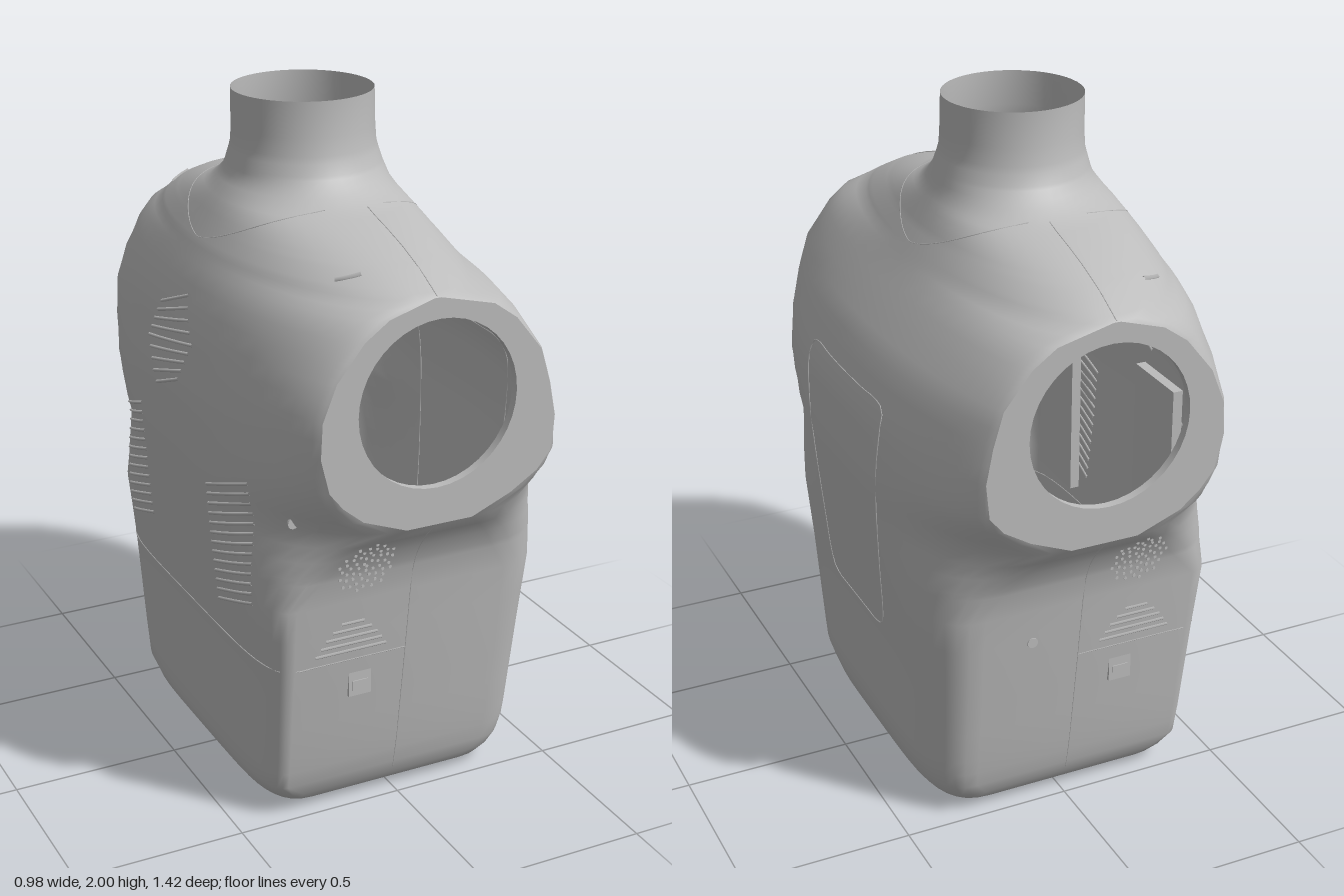
import * as THREE from 'three';
import { toCreasedNormals } from 'three/addons/utils/BufferGeometryUtils.js';

const shellGrey = new THREE.MeshStandardMaterial({ color: 0xbcbcbc, side: THREE.DoubleSide });

// Outline tables, each row is [height, value]
const LEFT = [[0, -.28], [.006, -.325], [.03, -.38], [.06, -.4], [.1, -.41], [.5, -.43], [.8, -.46], [1, -.48], [1.2, -.49],
  [1.4, -.47], [1.5, -.44], [1.6, -.39], [1.7, -.33], [1.77, -.28], [1.85, -.26], [2, -.26]];
const RIGHT = [[0, .3], [.006, .335], [.03, .37], [.06, .39], [.15, .42], [.5, .44], [.8, .465], [1, .485], [1.2, .48],
  [1.35, .43], [1.45, .365], [1.55, .295], [1.65, .23], [1.75, .175], [1.85, .145], [2, .14]];
const DEPTH = [[0, .38], [.006, .42], [.03, .46], [.06, .48], [.1, .492], [.2, .51], [.5, .55], [.7, .575], [.78, .59],
  [.85, .62], [.9, .66], [.95, .71], [1.59, .71], [1.64, .61], [1.675, .515], [1.7, .43], [1.725, .33], [1.75, .28],
  [1.79, .235], [1.83, .215], [1.9, .2], [2, .2]];
// Half of the flat part at each shoulder end
const END_LEFT = [[0, -.22], [.1, -.35], [.7, -.36], [.85, -.23], [.95, -.1], [1, -.23], [1.05, -.29], [1.1, -.33], [1.2, -.355],
  [1.3, -.35], [1.4, -.31], [1.5, -.23], [1.55, -.16], [1.59, -.03], [1.8, -.06], [2, -.06]];
const END_RIGHT = [[0, .2], [.1, .28], [.7, .29], [.85, .2], [.95, .1], [1, .22], [1.05, .3], [1.1, .34], [1.2, .35],
  [1.3, .33], [1.4, .3], [1.5, .22], [1.55, .15], [1.59, -.01], [1.65, -.03], [1.8, -.06], [2, -.06]];
// Roundness of the corners
const POWER = [[0, 5], [.75, 5], [.9, 3.6], [1, 3], [1.2, 2.2], [1.6, 2], [2, 2]];
const ROOT = [[0, .4], [.8, .42], [.9, .5], [1, .6], [1.2, .85], [1.4, .8], [1.5, .65], [1.6, .5], [2, .5]];

function look(table, y) {
  for (let i = 1; i < table.length; i++) {
    const [y0, a] = table[i - 1], [y1, b] = table[i];
    if (y <= y1) return a + (b - a) * Math.max(0, (y - y0) / (y1 - y0));
  }
  return table[table.length - 1][1];
}

// Point on the chest (side 1) or vented (side -1) wall
function onSide(y, z, side) {
  const w = look(side > 0 ? END_RIGHT : END_LEFT, y);
  const far = look(side > 0 ? RIGHT : LEFT, y);
  const k = Math.min(1, Math.abs(z) / look(DEPTH, y));
  const x = w + (far - w) * Math.pow(Math.max(0, 1 - Math.pow(k, look(POWER, y))), look(ROOT, y));
  return new THREE.Vector3(x, y, z);
}

// Point on the wall below a shoulder, end is 1 or -1 along z
function onEnd(x, y, end) {
  const right = x > look(END_RIGHT, y), left = x < look(END_LEFT, y);
  let z = look(DEPTH, y);
  if (right || left) {
    const w = look(right ? END_RIGHT : END_LEFT, y), far = look(right ? RIGHT : LEFT, y);
    const k = Math.min(1, (x - w) / (far - w));
    z *= Math.pow(1 - Math.pow(k, 1 / look(ROOT, y)), 1 / look(POWER, y));
  }
  return new THREE.Vector3(x, y, end * z);
}

function add(group, name, geometry) {
  const mesh = new THREE.Mesh(geometry, shellGrey);
  mesh.name = name;
  group.add(mesh);
  return mesh;
}

function line(group, name, points, radius = .002, closed = false) {
  const curve = new THREE.CatmullRomCurve3(points, closed, 'centripetal');
  return add(group, name, new THREE.TubeGeometry(curve, points.length * 3, radius, 4, closed));
}

const steps = (n, fn) => Array.from({ length: n + 1 }, (_, i) => fn(i / n));

export function createModel() {
  const model = new THREE.Group();
  model.name = 'torsoShell';

  // Body wall: horizontal sections lofted from floor to neck
  const heights = [...new Set([LEFT, RIGHT, DEPTH, END_LEFT, END_RIGHT].flatMap(t => t.map(r => r[0]))
    .concat([.015, .3, .4, .6, 1.15, 1.25, 1.57, 1.61, 1.66, 1.715, 1.77]))].sort((a, b) => a - b);
  const M = 24, ring = 2 * M + 2;
  const pos = [], index = [];
  for (const y of heights) {
    for (const side of [1, -1]) {
      for (let i = 0; i <= M; i++) {
        const z = side * Math.sin((2 * i / M - 1) * Math.PI / 2) * look(DEPTH, y);
        pos.push(...onSide(y, z, side).toArray());
      }
    }
  }
  for (let r = 0; r < heights.length - 1; r++) {
    const capRow = heights[r] >= .95 && heights[r + 1] <= 1.59;
    for (let i = 0; i < ring; i++) {
      if (capRow && (i === M || i === ring - 1)) continue; // open for the shoulder faces
      const a = r * ring + i, b = r * ring + (i + 1) % ring;
      index.push(a, a + ring, b, b, a + ring, b + ring);
    }
  }
  const wall = new THREE.BufferGeometry();
  wall.setAttribute('position', new THREE.Float32BufferAttribute(pos, 3));
  wall.setIndex(index);
  add(model, 'bodyWall', toCreasedNormals(wall, .8));

  // Flat shoulder faces with round arm openings
  const capRows = heights.filter(y => y >= .95 && y <= 1.59);
  const cap = new THREE.Shape([
    ...capRows.map(y => new THREE.Vector2(look(END_RIGHT, y), y)),
    ...capRows.slice().reverse().map(y => new THREE.Vector2(look(END_LEFT, y), y))]);
  cap.holes.push(new THREE.Path().absarc(-.01, 1.295, .237, 0, Math.PI * 2, true));
  for (const end of [1, -1]) {
    add(model, 'shoulderFace', new THREE.ShapeGeometry(cap, 20)).position.z = end * .71;
    const lip = add(model, 'armOpeningLip', new THREE.CylinderGeometry(.237, .237, .025, 40, 1, true));
    lip.rotation.x = Math.PI / 2;
    lip.position.set(-.01, 1.295, end * .6975);
  }

  // Floor with a round opening
  const floor = new THREE.Shape(steps(ring - 1, t => {
    const i = Math.round(t * (ring - 1)) * 3;
    return new THREE.Vector2(pos[i], pos[i + 2]);
  }));
  floor.holes.push(new THREE.Path().absarc(-.06, 0, .21, 0, Math.PI * 2, true));
  add(model, 'floor', new THREE.ShapeGeometry(floor, 20).rotateX(Math.PI / 2));

  // Chest panel outline with rounded corners
  const corners = [[.28, 1.255], [-.28, 1.255], [-.2, .51], [.2, .51]];
  const outline = [];
  corners.forEach(([z, y], i) => {
    const [pz, py] = corners[(i + 3) % 4], [nz, ny] = corners[(i + 1) % 4];
    const toward = (qz, qy, d) => {
      const l = Math.hypot(qz - z, qy - y);
      return [z + (qz - z) * d / l, y + (qy - y) * d / l];
    };
    const a = toward(pz, py, .06), b = toward(nz, ny, .06);
    outline.push(a, [(a[0] + b[0] + 2 * z) / 4, (a[1] + b[1] + 2 * y) / 4], b);
    for (let k = 1; k < 5; k++) outline.push([b[0] + (nz - z) * k * .16, b[1] + (ny - y) * k * .16]);
  });
  line(model, 'chestPanelSeam', outline.map(([z, y]) => onSide(y, z, 1)), .002, true);

  // Slanted vents on the vented wall, with a backing plate inside
  const vent = (z, y, half, rise) => line(model, 'sideVent',
    steps(4, t => onSide(y + (2 * t - 1) * rise, z + (2 * t - 1) * half, -1)), .005);
  for (const s of [-1, 1]) {
    for (let i = 0; i < 13; i++) vent(s * .34, .65 + i * .03, .11, .04);
    add(model, 'ventBacking', new THREE.BoxGeometry(.03, .6, .22)).position.set(-.38, .9, s * .31);
  }
  for (let i = -4; i <= 4; i++) vent(0, 1.32 + i * .03, .15 - Math.abs(i) * .018, .03);

  // Seam around the vented half
  line(model, 'lowerSideSeam', steps(24, t => onSide(.505, (2 * t - 1) * .53, -1)));

  // Seam where the neck meets the shoulders
  for (const side of [1, -1]) {
    line(model, 'neckSeam', steps(20, t => {
      const s = 2 * t - 1;
      return onSide(1.61 + .12 * Math.pow(Math.abs(s), 1.5), s * .3, side);
    }), .0015);
  }

  for (const end of [1, -1]) {
    line(model, 'lowerEndSeam', steps(8, t => onEnd(-.4 + t * .39, .505, end)));
    line(model, 'centreSeam', steps(16, t => onEnd(-.01, .02 + t * .92, end)), .0015);
    line(model, 'shoulderSeam', steps(10, t => onEnd(-.02, 1.592 + t * .138, end)), .0015);

    // Speaker holes
    for (let i = 0; i < 55; i++) {
      const a = i * 2.39996, d = .088 * Math.sqrt(i / 55);
      const hole = add(model, 'speakerHole', new THREE.CylinderGeometry(.005, .005, .004, 8));
      hole.rotation.x = Math.PI / 2;
      hole.position.copy(onEnd(-.165 + d * Math.cos(a), .815 + d * Math.sin(a), end));
    }

    // Stepped slots below the speaker
    [.11, .095, .08, .06, .035].forEach((half, i) => {
      line(model, 'lowerSlot', steps(3, t => onEnd(-.185 + (2 * t - 1) * half, .537 + i * .023, end)), .005);
    });

    // Latch, small bolt and strap slot
    const latch = add(model, 'latch', new THREE.BoxGeometry(.07, .075, .01));
    latch.position.copy(onEnd(-.15, .42, end));
    const slot = add(model, 'latchBar', new THREE.BoxGeometry(.05, .03, .008));
    slot.position.copy(onEnd(-.15, .415, end)).z += end * .004;
    const bolt = add(model, 'bolt', new THREE.CylinderGeometry(.016, .016, .008, 12));
    bolt.rotation.x = Math.PI / 2;
    bolt.position.copy(end > 0 ? onEnd(-.37, .97, 1) : onEnd(.14, .59, -1));
    line(model, 'strapSlot', steps(3, t => onEnd(-.23 + t * .06, 1.618 + t * .016, end)), .007);
  }

  return model;
}
